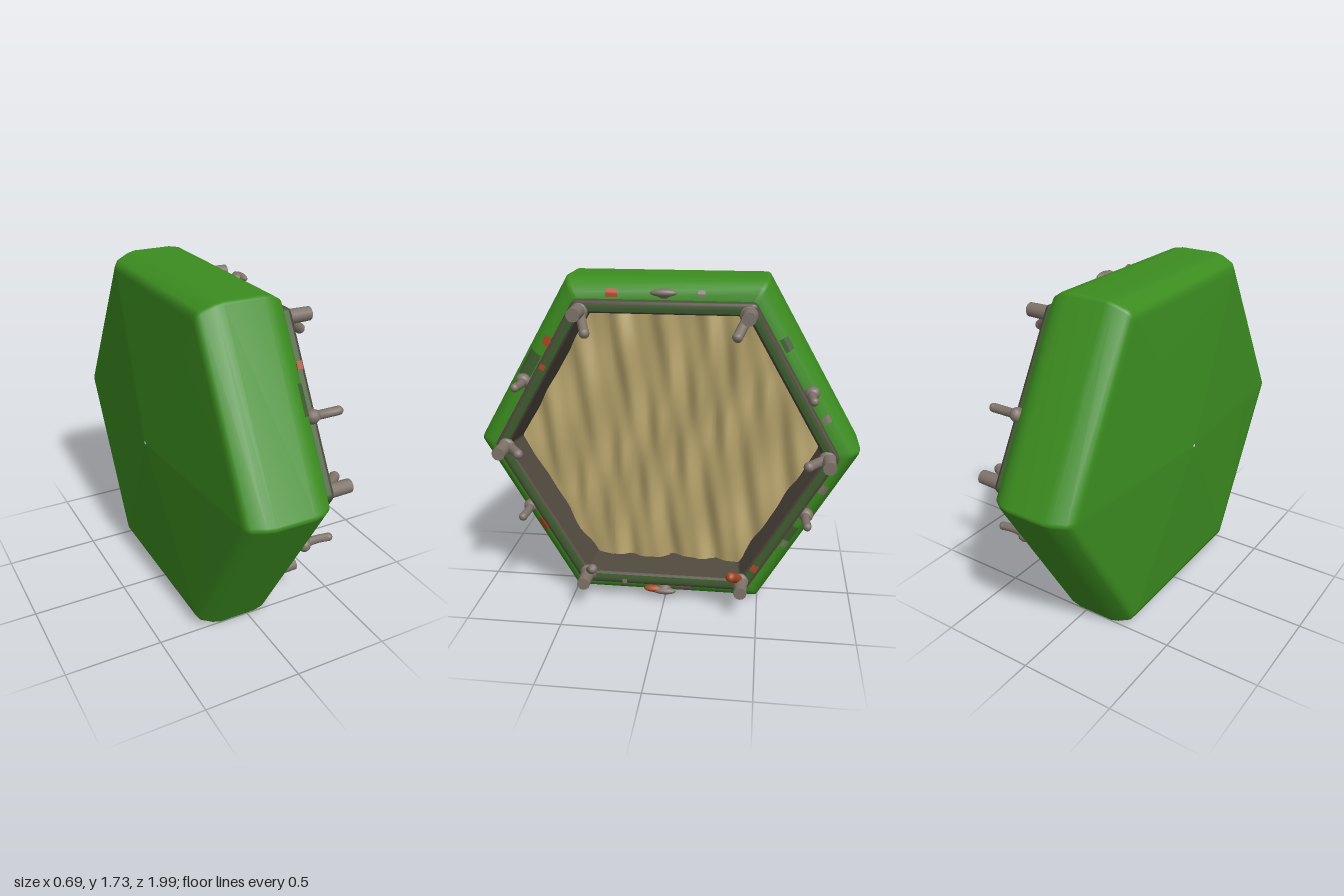
import * as THREE from 'three';

const CY = 0.866, D = Math.PI / 180;
const mat = (name, color, side = THREE.FrontSide) =>
  Object.assign(new THREE.MeshStandardMaterial({ color, side }), { name });

// Rounded hexagon ring in the plane at x, with corners at +z and -z
function hexRing(x, R, round) {
  const pts = [];
  for (let k = 0; k < 6; k++) {
    const a = k * 60 * D, c = R - round / Math.cos(30 * D);
    for (let i = 0; i <= 4; i++) {
      const b = a + (-30 + i * 15) * D;
      pts.push([x, CY + c * Math.sin(a) + round * Math.sin(b), c * Math.cos(a) + round * Math.cos(b)]);
    }
  }
  return pts;
}

// Skin a list of [x, radius] hexagon sections
function hexLoft(profile, round) {
  const pos = [], idx = [], n = 30;
  for (const [x, R] of profile) pos.push(...hexRing(x, R, Math.min(round, R * 0.3)).flat());
  for (let i = 0; i < profile.length - 1; i++) {
    for (let j = 0; j < n; j++) {
      const a = i * n + j, b = i * n + (j + 1) % n;
      idx.push(a, a + n, b, b, a + n, b + n);
    }
  }
  const g = new THREE.BufferGeometry();
  g.setAttribute('position', new THREE.Float32BufferAttribute(pos, 3));
  g.setIndex(idx);
  g.computeVertexNormals();
  return g;
}

// Cloth strip between two z limits, trimmed to the hexagon and folded
function clothStrip(z0, z1, bend0, bend1, lift) {
  const g = new THREE.PlaneGeometry(1, 1, 24, 48), p = g.attributes.position;
  for (let i = 0; i < p.count; i++) {
    const u = p.getX(i) + 0.5, v = p.getY(i) * 2, mid = 1 - Math.abs(v);
    const z = z0 + (z1 - z0) * u + mid * (bend0 * (1 - u) + bend1 * u);
    const y = v * Math.max(0, Math.min(0.682, (0.788 - Math.abs(z)) * Math.sqrt(3)));
    const fold = 0.014 * Math.sin(z * 32 + 1.8 * Math.sin(y * 4 + z * 3))
      + 0.011 * Math.sin(y * 10 + z * 13)
      + 0.006 * Math.sin(z * 55 - y * 9);
    p.setXYZ(i, 0.03 + lift * u + fold, CY + y, z);
  }
  g.computeVertexNormals();
  return g;
}

// Height of the front face at a distance from the centre
const FACE = [[0, 0.224], [0.765, 0.224], [0.7651, 0.164], [0.797, 0.16], [0.827, 0.14], [0.857, 0.09], [0.866, 0.04]];
function faceX(r) {
  const i = FACE.findIndex(f => f[0] >= r), [r0, x0] = FACE[i - 1], [r1, x1] = FACE[i];
  return x0 + (x1 - x0) * (r - r0) / (r1 - r0);
}

// Thin flake of colour that follows the front face
function chipGeometry(t, r, len, width) {
  const g = new THREE.PlaneGeometry(width, len, 8, 1), p = g.attributes.position;
  for (let i = 0; i < p.count; i++) {
    const z = r - p.getX(i);
    p.setXYZ(i, faceX(z) + 0.004, t + p.getY(i), z);
  }
  g.computeVertexNormals();
  return g;
}

const tube = (pts, r) => new THREE.TubeGeometry(
  new THREE.CatmullRomCurve3(pts.map(q => new THREE.Vector3(...q))), 8, r, 8);

export function createModel() {
  const model = new THREE.Group();
  const green = mat('green paint', 0x3c8d20);
  const moss = mat('worn green paint', 0x3e5e2f);
  const dark = mat('dark metal', 0x51493e);
  const cloth = mat('tan cloth', 0xb5a26b, THREE.DoubleSide);
  const steel = mat('grey metal', 0x7e736a);
  const rust = mat('rust', 0xa84a22);

  const add = (name, geo, material, parent = model) => {
    const m = new THREE.Mesh(geo, material);
    m.name = name;
    parent.add(m);
    return m;
  };
  // Group whose local z points outward at an angle and local y runs along the edge
  const radial = (name, deg) => {
    const g = new THREE.Group();
    g.name = name;
    g.position.y = CY;
    g.rotation.x = -deg * D;
    model.add(g);
    return g;
  };
  const ball = (name, parent, material, size, at, scale = [1, 1, 1]) => {
    const m = add(name, new THREE.SphereGeometry(size, 12, 8), material, parent);
    m.position.set(...at);
    m.scale.set(...scale);
  };

  // Padded outer shell with a shallow pointed back
  add('shell', hexLoft([[-0.34, 0.01], [-0.312, 0.45], [-0.283, 0.9], [-0.279, 0.935], [-0.262, 0.96],
    [-0.2, 0.99], [-0.16, 1.0], [0.04, 1.0], [0.09, 0.99], [0.14, 0.955], [0.16, 0.92],
    [0.164, 0.86]], 0.025), green);

  // Raised rim, its dark edge and the tapering inner wall
  add('rimSide', hexLoft([[0.14, 0.883], [0.205, 0.883]], 0.03), moss);
  add('rimEdge', hexLoft([[0.205, 0.883], [0.218, 0.878], [0.22, 0.862]], 0.03), dark);
  add('rimFace', hexLoft([[0.22, 0.862], [0.222, 0.845], [0.218, 0.822]], 0.03), moss);
  add('rimLip', hexLoft([[0.218, 0.822], [0.205, 0.812]], 0.03), dark);
  add('innerWall', hexLoft([[0.205, 0.812], [0.1, 0.795], [-0.02, 0.78]], 0.02), dark);

  // Overlapping strips of crumpled cloth
  [[0.788, 0.3, 0, -0.04, 0.012], [0.325, -0.01, -0.05, 0, 0.012],
    [0.01, -0.26, 0, 0.01, 0.012], [-0.235, -0.42, 0, 0.03, 0.012],
    [-0.39, -0.788, 0.02, 0, 0]].forEach(s => add('clothStrip', clothStrip(...s), cloth));

  // Corner posts with a prong leaning inward
  for (let k = 0; k < 6; k++) {
    const g = radial('cornerPost', k * 60);
    const post = add('post', new THREE.CylinderGeometry(0.034, 0.037, 0.15, 12), steel, g);
    post.rotation.z = -Math.PI / 2;
    post.position.set(0.265, 0, 0.825);
    ball('postFoot', g, steel, 0.045, [0.215, 0, 0.82], [0.6, 1, 1]);
    const m = k === 4 ? rust : steel;
    add('prong', tube([[0.21, 0, 0.815], [0.27, 0, 0.765], [0.325, 0, 0.725]], 0.025), m, g);
    ball('prongTip', g, m, 0.026, [0.325, 0, 0.725]);
  }

  // Long hooks on the four slanted edges: [edge angle, offset along edge]
  [[30, -0.06], [150, 0.08], [210, -0.09], [330, 0.06]].forEach(([deg, t]) => {
    const g = radial('edgeHook', deg);
    ball('hookBase', g, steel, 0.036, [0.18, t, 0.795], [1, 1, 1.1]);
    add('hookArm', tube([[0.17, t, 0.797], [0.25, t, 0.79], [0.322, t, 0.797]], 0.022), steel, g);
    ball('hookTip', g, steel, 0.022, [0.322, t, 0.797]);
  });

  // Low cleats on the top and bottom edges
  [90, 270].forEach(deg => {
    const g = radial('edgeCleat', deg);
    ball('cleatBase', g, steel, 0.032, [0.18, 0, 0.8], [1, 1.1, 0.8]);
    ball('cleatBar', g, steel, 0.065, [0.2, 0, 0.805], [0.33, 1, 0.3]);
    if (deg === 270) ball('rustyCleatEnd', g, rust, 0.05, [0.195, 0.06, 0.797], [0.45, 1, 0.38]);
  });

  // Paint chips: [edge angle, offset along edge, distance out, length, width, material]
  [[90, -0.26, 0.795, 0.06, 0.04, rust], [30, 0.18, 0.787, 0.05, 0.04, rust],
    [30, 0.07, 0.738, 0.03, 0.03, rust], [-30, -0.07, 0.797, 0.075, 0.05, rust],
    [210, 0.3, 0.728, 0.04, 0.035, rust], [30, 0.02, 0.81, 0.15, 0.07, moss],
    [150, -0.19, 0.797, 0.07, 0.045, moss], [210, 0.05, 0.795, 0.09, 0.04, moss],
    [210, -0.245, 0.8, 0.05, 0.04, steel], [150, 0.24, 0.795, 0.04, 0.04, steel],
    [270, -0.1, 0.8, 0.08, 0.035, steel], [90, 0.18, 0.797, 0.035, 0.03, steel],
    [210, 0.12, 0.8, 0.04, 0.03, steel], [270, 0.21, 0.745, 0.025, 0.025, steel],
  ].forEach(([deg, t, r, len, width, m]) =>
    add('paintChip', chipGeometry(t, r, len, width), m, radial('chipSpot', deg)));

  // Rust spot on the side of the rim
  const spot = add('rimRustSpot', new THREE.BoxGeometry(0.03, 0.04, 0.008), rust, radial('rimSpot', 30));
  spot.position.set(0.195, 0.18, 0.764);

  return model;
}
